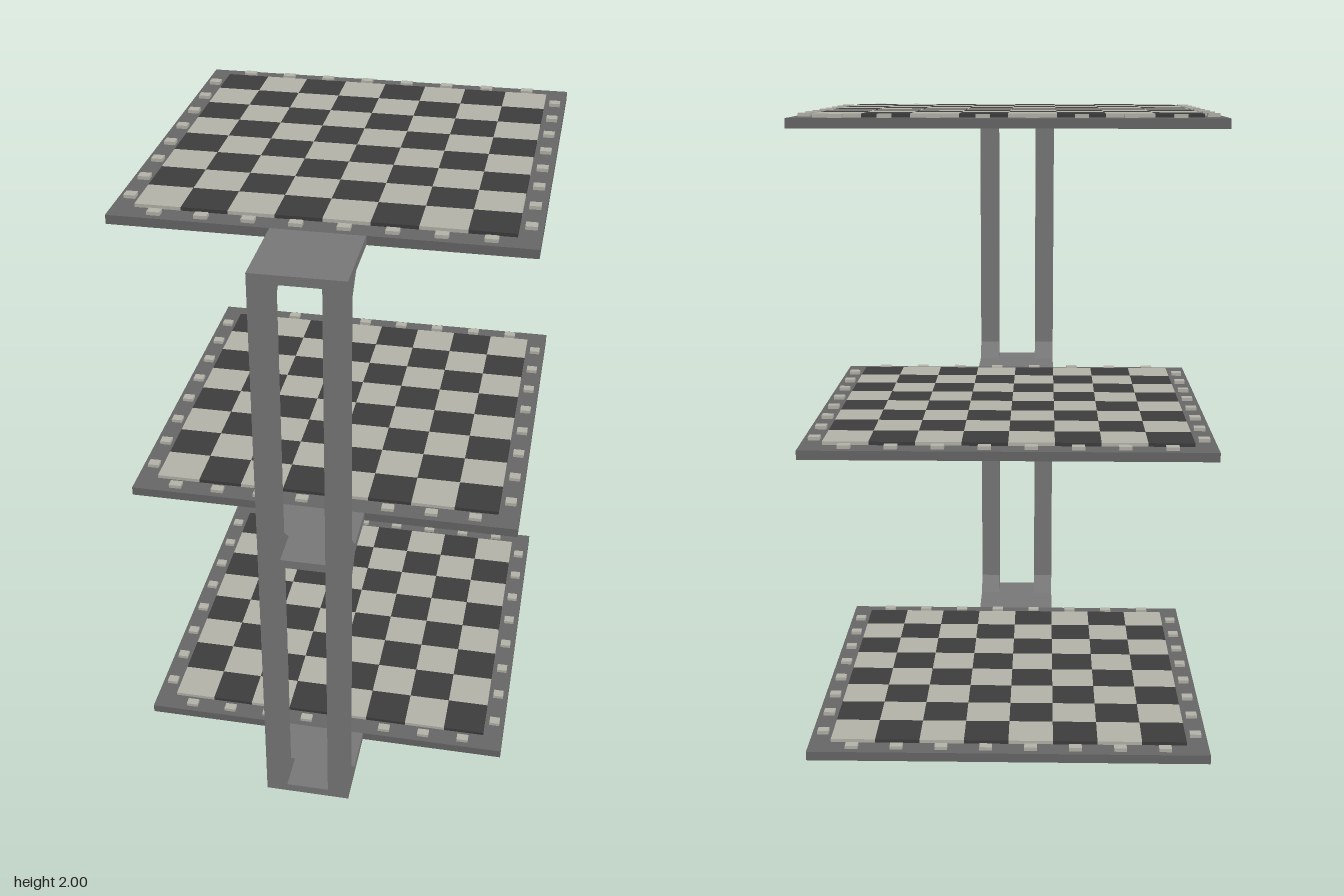
import * as THREE from 'three';

const LEVELS = [0, 0.98, 1.96];   // underside of each board
const THICK = 0.029;              // board and arm thickness
const TILE_H = 0.011;             // raised height of the squares
const SQ = 0.1418;                // one square
const BOARD = 1.272, BOARD_Z = -0.143;
const FRONT = 0.78, ARM_END = BOARD_Z + BOARD / 2;

const mat = (color) => new THREE.MeshStandardMaterial({ color });

function box(name, w, h, d, x, y, z, material) {
  const mesh = new THREE.Mesh(new THREE.BoxGeometry(w, h, d), material);
  mesh.position.set(x, y, z);
  mesh.name = name;
  return mesh;
}

export function createModel() {
  const model = new THREE.Group();
  model.name = 'threeLevelBoard';
  const frameMat = mat(0x666666), standMat = mat(0x777777);
  const lightMat = mat(0xb2b2a8), darkMat = mat(0x3c3c3c);

  // Boards: slab, 8 x 8 raised squares and blank raised rim markers
  function makeBoard() {
    const board = new THREE.Group();
    board.add(box('boardSlab', BOARD, THICK, BOARD, 0, THICK / 2, BOARD_Z, frameMat));
    const y = THICK + TILE_H / 2;
    for (let i = 0; i < 8; i++) {
      const a = (i - 3.5) * SQ;
      for (let j = 0; j < 8; j++) {
        const dark = (i + j) % 2 === 0;
        board.add(box(dark ? 'darkSquare' : 'lightSquare', SQ, TILE_H, SQ,
          a, y, BOARD_Z + (j - 3.5) * SQ, dark ? darkMat : lightMat));
      }
      for (const s of [-1, 1]) {
        board.add(box('columnMarker', 0.04, TILE_H, 0.028, a, y, BOARD_Z + s * 0.601, lightMat));
        board.add(box('rowMarker', 0.036, TILE_H, 0.032, s * 0.601, y, BOARD_Z + a, lightMat));
      }
    }
    return board;
  }
  LEVELS.forEach((y, i) => {
    const board = makeBoard();
    board.name = ['lowerBoard', 'middleBoard', 'upperBoard'][i];
    board.position.y = y;
    model.add(board);
  });

  // Stand: side profile of post, arms and chamfered braces, drawn as (z, y)
  const inner = 0.715, brace = 0.057;
  const top = LEVELS[2] + THICK;
  const profile = new THREE.Shape();
  profile.moveTo(FRONT, 0);
  profile.lineTo(FRONT, top);
  for (let i = 2; i >= 0; i--) {
    const y0 = LEVELS[i], y1 = y0 + THICK;
    if (i < 2) {
      profile.lineTo(inner, y1 + brace);
      profile.lineTo(inner - brace, y1);
    }
    profile.lineTo(ARM_END, y1);
    profile.lineTo(ARM_END, y0);
    if (i > 0) {
      profile.lineTo(inner - brace, y0);
      profile.lineTo(inner, y0 - brace);
    }
  }
  profile.closePath();

  const stand = new THREE.Group();
  stand.name = 'stand';
  const width = 0.071;
  const postGeo = new THREE.ExtrudeGeometry(profile, { depth: width, bevelEnabled: false });
  postGeo.rotateY(-Math.PI / 2);
  postGeo.translate(width / 2, 0, 0);
  for (const s of [-1, 1]) {
    const post = new THREE.Mesh(postGeo, standMat);
    post.name = s > 0 ? 'leftPost' : 'rightPost';
    post.position.x = s * width * 1.5;
    stand.add(post);
  }

  // Plates filling the gap between the posts at each level
  for (const y of LEVELS) {
    stand.add(box('armPlate', width * 2, THICK, FRONT - ARM_END,
      0, y + THICK / 2, (FRONT + ARM_END) / 2, standMat));
  }
  model.add(stand);
  return model;
}
